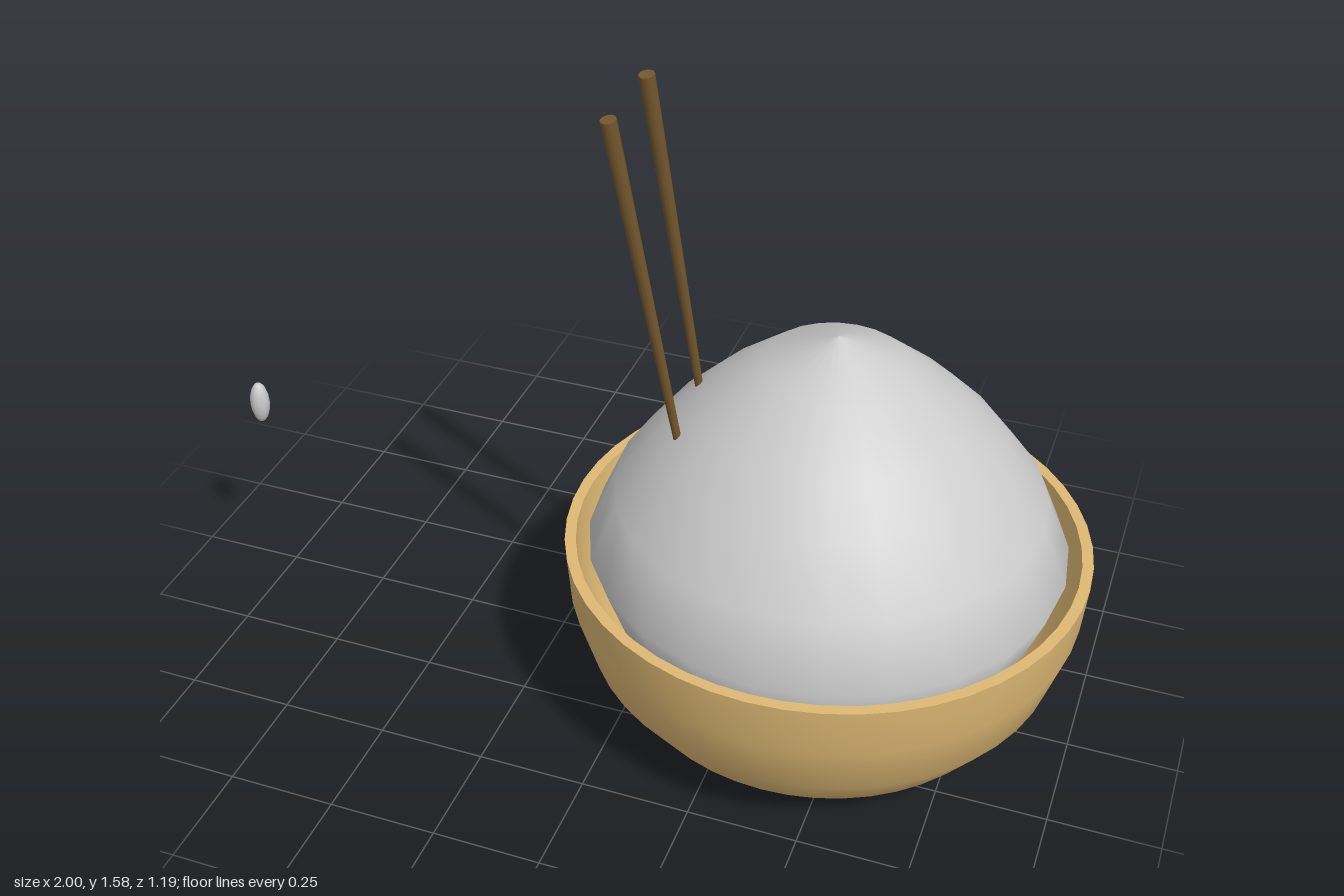
import * as THREE from 'three';
import { toCreasedNormals } from 'three/addons/utils/BufferGeometryUtils.js';

const profile = pairs => pairs.map(([r, y]) => new THREE.Vector2(r, y));

export function createModel() {
  const model = new THREE.Group();
  model.name = 'riceBowl';
  const tan = new THREE.MeshStandardMaterial({ color: 0xdeb974 });
  const wood = new THREE.MeshStandardMaterial({ color: 0x75582e });
  const grey = new THREE.MeshStandardMaterial({ color: 0xcccccc });

  const add = (name, geometry, material, x = 0, y = 0, z = 0) => {
    const mesh = new THREE.Mesh(geometry, material);
    mesh.name = name;
    mesh.position.set(x, y, z);
    model.add(mesh);
    return mesh;
  };
  const bowlX = 0.405;

  // Bowl: flat base, faceted outer curve, rim and hollow inside
  const bowl = new THREE.LatheGeometry(profile([
    [0, 0], [0.345, 0], [0.46, 0.085], [0.54, 0.195], [0.583, 0.335], [0.593, 0.455],
    [0.568, 0.455], [0.558, 0.335], [0.516, 0.21], [0.44, 0.11], [0.33, 0.03], [0, 0.03],
  ]), 48);
  add('bowl', toCreasedNormals(bowl, 0.5), tan, bowlX);

  // Rice heap rising from inside the rim to a blunt peak
  const rice = new THREE.LatheGeometry(profile([
    [0.5, 0.34], [0.54, 0.45], [0.48, 0.59], [0.38, 0.72],
    [0.295, 0.805], [0.16, 0.915], [0, 0.98],
  ]), 24);
  add('riceHeap', rice, grey, bowlX);

  // Tapered chopsticks, each leaning from its tip in the rice to its top end
  const up = new THREE.Vector3(0, 1, 0);
  const addChopstick = (name, tip, top) => {
    const axis = top.clone().sub(tip);
    const geometry = new THREE.CylinderGeometry(0.017, 0.007, axis.length(), 10);
    const mid = tip.clone().add(top).multiplyScalar(0.5);
    const stick = add(name, geometry, wood, mid.x, mid.y, mid.z);
    stick.quaternion.setFromUnitVectors(up, axis.normalize());
  };
  addChopstick('backChopstick', new THREE.Vector3(0.115, 0.56, -0.038), new THREE.Vector3(0.022, 1.577, 0.13));
  addChopstick('frontChopstick', new THREE.Vector3(0.125, 0.56, 0.132), new THREE.Vector3(0, 1.545, 0.282));

  // Single loose grain
  add('looseGrain', new THREE.SphereGeometry(1, 12, 8), grey, -0.977, 0.558, 0.105)
    .scale.set(0.023, 0.054, 0.023);

  return model;
}
